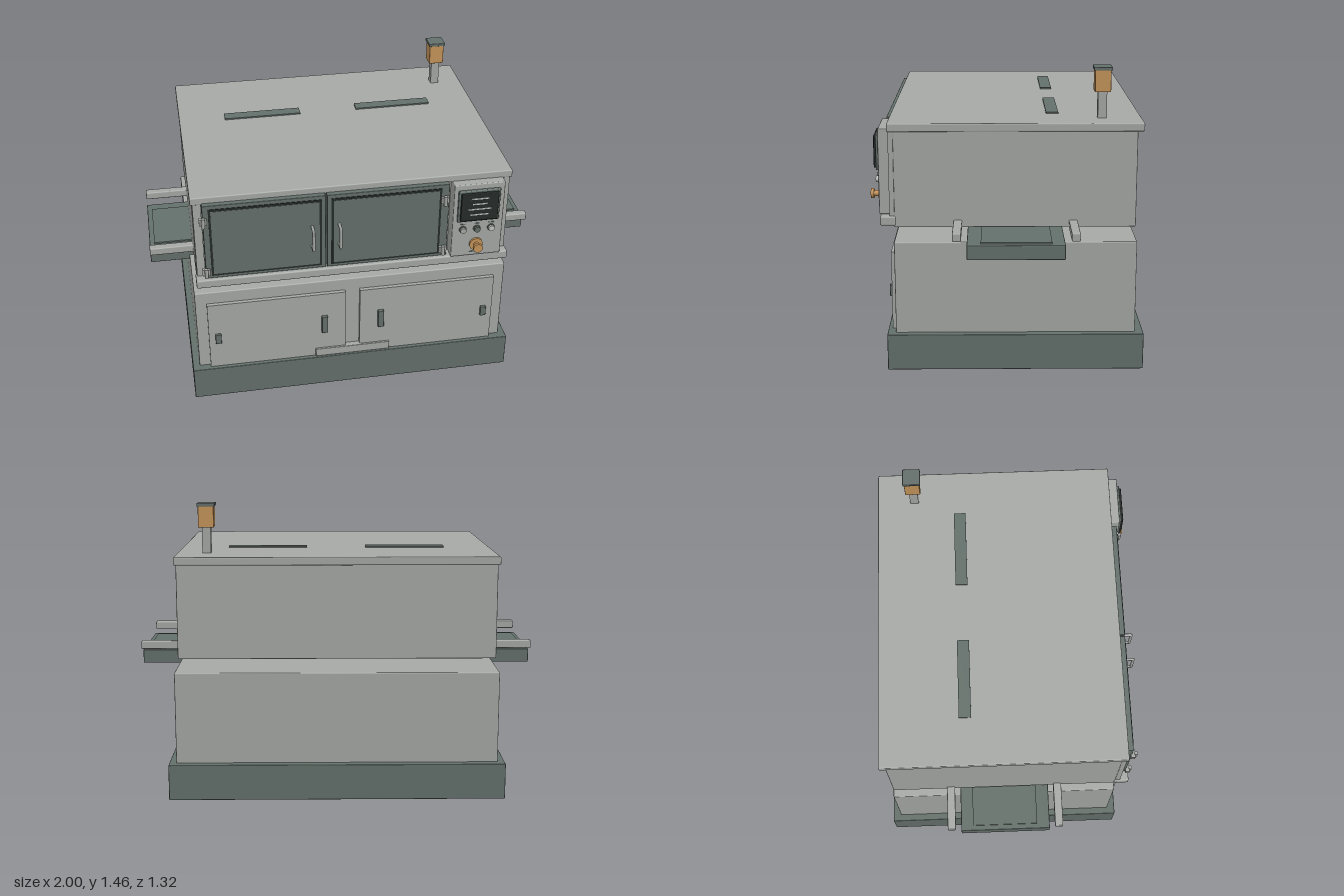
import * as THREE from 'three';
import { RoundedBoxGeometry } from 'three/addons/geometries/RoundedBoxGeometry.js';

const material = (name, color) => {
  const m = new THREE.MeshStandardMaterial({ color });
  m.name = name;
  return m;
};

export function createModel() {
  const model = new THREE.Group();
  model.name = 'conveyorOven';
  const steel = material('brushed steel', 0xa6a9a6);
  const dark = material('dark green grey', 0x64706b);
  const black = material('black rubber', 0x262c2b);
  const amber = material('amber', 0xc6955a);
  const pale = material('pale grey', 0xc4c8c5);

  // Box given by its limits on each axis; a radius softens the edges
  function box(name, mat, [x0, x1], [y0, y1], [z0, z1], radius = 0) {
    const size = [x1 - x0, y1 - y0, z1 - z0];
    const geometry = radius
      ? new RoundedBoxGeometry(...size, 2, radius)
      : new THREE.BoxGeometry(...size);
    const mesh = new THREE.Mesh(geometry, mat);
    mesh.name = name;
    mesh.position.set((x0 + x1) / 2, (y0 + y1) / 2, (z0 + z1) / 2);
    model.add(mesh);
    return mesh;
  }
  const around = (c, w) => [c - w / 2, c + w / 2];

  // Cylinder lying along z
  function disc(name, mat, x, y, [z0, z1], radius) {
    const mesh = new THREE.Mesh(new THREE.CylinderGeometry(radius, radius, z1 - z0, 24), mat);
    mesh.name = name;
    mesh.rotation.x = Math.PI / 2;
    mesh.position.set(x, y, (z0 + z1) / 2);
    model.add(mesh);
  }

  // Main bodies
  box('plinth', dark, [-0.835, 0.835], [0, 0.18], [-0.66, 0.58], 0.004);
  box('lowerCabinet', steel, [-0.8, 0.8], [0.17, 0.637], [-0.62, 0.54], 0.006);
  box('upperBody', steel, [-0.78, 0.78], [0.705, 1.18], [-0.613, 0.537], 0.005);
  box('lid', steel, [-0.788, 0.788], [1.17, 1.21], [-0.643, 0.565], 0.006);

  // Conveyor through the gap, with a rail on each side
  box('conveyorTray', dark, [-1, 1], [0.612, 0.682], [-0.267, 0.19], 0.004);
  box('conveyorBelt', dark, [-0.975, 0.975], [0.68, 0.69], [-0.205, 0.125]);
  for (const z of [0.236, -0.314])
    box('conveyorRail', steel, [-1, 1], [0.699, 0.74], around(z, 0.041), 0.006);

  // Lower cabinet doors, handles, locks and centre plate
  for (const side of [-1, 1]) {
    box('cabinetDoor', steel, around(side * 0.39, 0.705), [0.18, 0.57], [0.535, 0.56]);
    box('cabinetHandle', dark, around(side * 0.147, 0.032), [0.333, 0.435], [0.555, 0.577], 0.004);
    box('cabinetLock', dark, around(side * 0.695, 0.03), [0.333, 0.39], [0.555, 0.573], 0.003);
  }
  box('centrePlate', steel, [-0.195, 0.195], [0.18, 0.226], [0.535, 0.57], 0.003);

  // Oven front: ledge and side posts
  box('frontLedge', steel, [-0.785, 0.785], [0.714, 0.76], [0.53, 0.605], 0.008);
  for (const side of [-1, 1])
    box('frontPost', steel, around(side * 0.757, 0.04), [0.76, 1.17], [0.53, 0.56]);

  // Oven doors with gasket, window, hinges and bar handle
  const doors = [
    { x0: -0.735, x1: -0.143, glass: -0.435, hinge: -0.733, handle: -0.211 },
    { x0: -0.137, x1: 0.468, glass: 0.157, hinge: 0.445, handle: -0.078 },
  ];
  for (const d of doors) {
    box('ovenDoor', dark, [d.x0, d.x1], [0.763, 1.178], [0.53, 0.592], 0.003);
    box('doorGasket', black, around(d.glass, 0.544), [0.778, 1.158], [0.588, 0.595]);
    box('doorWindow', dark, around(d.glass, 0.522), [0.789, 1.147], [0.59, 0.597]);
    for (const y of [0.805, 1.095]) {
      box('hingePlate', steel, around(d.hinge, 0.038), around(y, 0.034), [0.585, 0.606]);
      const pin = new THREE.Mesh(new THREE.CylinderGeometry(0.009, 0.009, 0.052, 12), steel);
      pin.name = 'hingePin';
      pin.position.set(d.hinge, y, 0.61);
      model.add(pin);
    }
    const path = new THREE.CurvePath();
    const corners = [[0.9, 0.595], [0.9, 0.645], [1.012, 0.645], [1.012, 0.595]]
      .map(([y, z]) => new THREE.Vector3(d.handle, y, z));
    for (let i = 0; i < 3; i++) path.add(new THREE.LineCurve3(corners[i], corners[i + 1]));
    const handle = new THREE.Mesh(new THREE.TubeGeometry(path, 36, 0.0075, 10), steel);
    handle.name = 'ovenDoorHandle';
    model.add(handle);
  }

  // Control panel and screen
  box('controlPanel', steel, [0.487, 0.742], [0.76, 1.176], [0.53, 0.611], 0.005);
  box('screenBezel', dark, [0.507, 0.718], [0.97, 1.147], [0.605, 0.624], 0.005);
  box('screen', black, [0.518, 0.707], [0.981, 1.136], [0.615, 0.635], 0.004);
  const bars = [[1.107, 0.09], [1.077, 0.075], [1.048, 0.115], [1.017, 0.09]];
  for (const [y, w] of bars)
    box('screenBar', pale, around(0.612, w), around(y, 0.007), [0.634, 0.637]);

  // Buttons with their marker strips
  [steel, dark, pale].forEach((mat, i) => {
    const x = 0.54 + i * 0.072;
    disc('buttonRing', dark, x, 0.92, [0.605, 0.617], 0.019);
    disc('button', mat, x, 0.92, [0.61, 0.628], 0.015);
    box('buttonMarker', dark, around(x, 0.026), around(0.949, 0.006), [0.608, 0.613]);
  });

  // Amber push knob
  disc('knobFlange', amber, 0.612, 0.83, [0.605, 0.622], 0.034);
  disc('knobStem', amber, 0.612, 0.83, [0.615, 0.65], 0.014);
  disc('knobHead', amber, 0.612, 0.83, [0.645, 0.661], 0.024);
  box('knobMarker', dark, around(0.612, 0.06), around(0.783, 0.006), [0.608, 0.613]);

  // Roof vents
  for (const x of [-0.35, 0.35])
    box('roofVent', dark, around(x, 0.4), [1.209, 1.217], around(-0.22, 0.06));

  // Signal beacon
  box('beaconPost', steel, around(0.641, 0.043), [1.205, 1.34], around(-0.453, 0.043));
  box('beaconLamp', amber, around(0.641, 0.077), [1.337, 1.443], around(-0.453, 0.077), 0.003);
  box('beaconCap', dark, around(0.641, 0.088), [1.44, 1.456], around(-0.453, 0.088), 0.003);

  return model;
}
